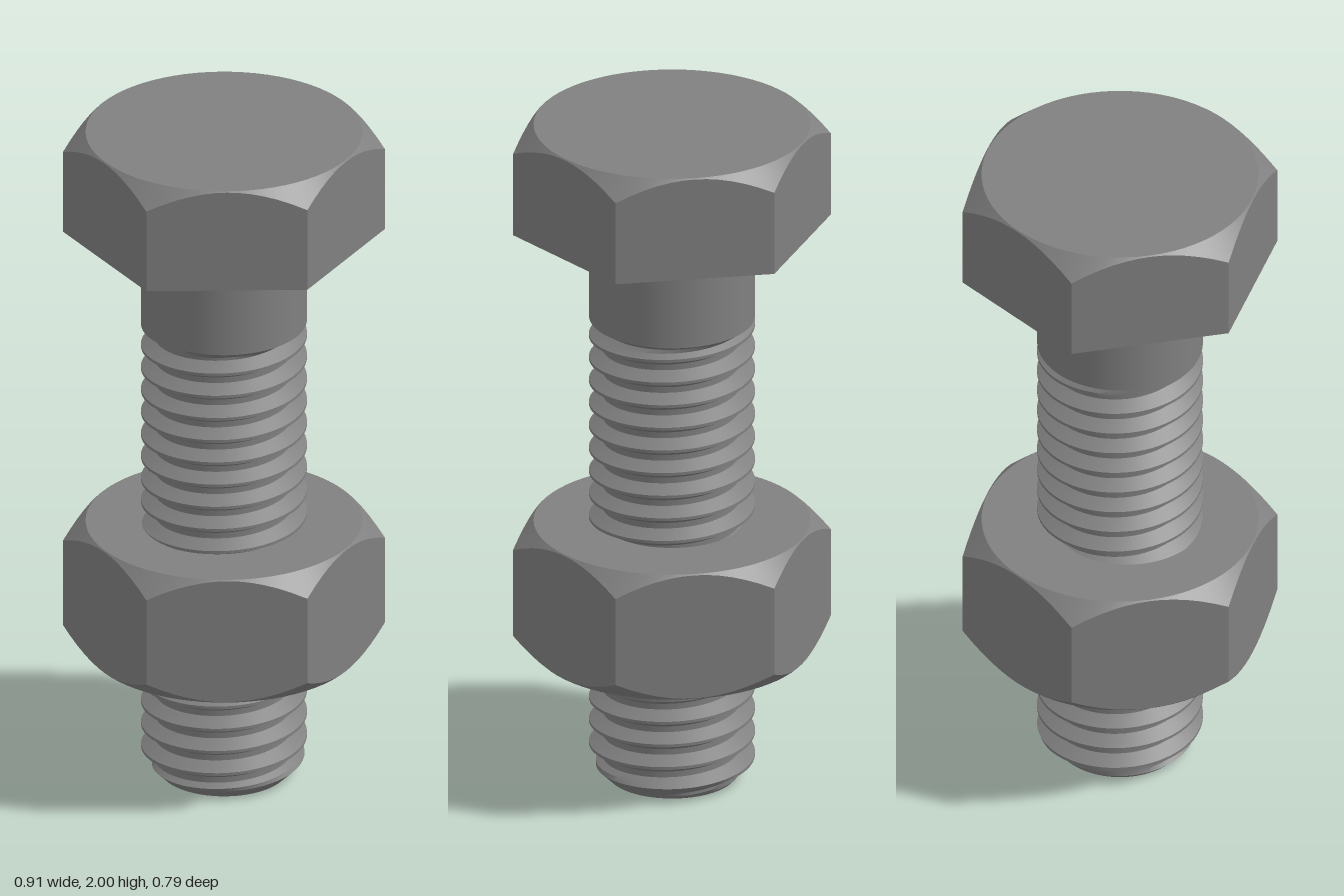
import * as THREE from 'three';
import { toCreasedNormals } from 'three/addons/utils/BufferGeometryUtils.js';

const SEG = 72, SHANK_R = 0.235, ROOT_R = 0.196, APOTHEM = 0.395;
const PITCH = 0.0697, CREST_Y = 0.042, THREAD_TOP = 1.41;

// Skins a stack of rings; each ring is a function angle -> [radius, y]
function skin(rings) {
  const pos = [], index = [], w = SEG + 1;
  rings.forEach((ring, i) => {
    for (let j = 0; j <= SEG; j++) {
      const a = (j / SEG) * Math.PI * 2;
      const [r, y] = ring(a);
      pos.push(r * Math.cos(a), y, -r * Math.sin(a));
      if (i > 0 && j < SEG) {
        const p = (i - 1) * w + j, q = p + w;
        index.push(p, p + 1, q + 1, p, q + 1, q);
      }
    }
  });
  const g = new THREE.BufferGeometry();
  g.setAttribute('position', new THREE.Float32BufferAttribute(pos, 3));
  g.setIndex(index);
  return toCreasedNormals(g, Math.PI / 7);
}

// Hexagon radius with corners on the x axis
function hexRadius(a) {
  const s = Math.PI / 3;
  const local = a - Math.floor(a / s + 1e-9) * s - s / 2;
  return APOTHEM / Math.cos(local);
}

// Hexagonal block whose corners are turned off by a cone
function hexBlock(bottom, top, drop, chamferBottom, bore) {
  const faceR = 0.392;
  const cut = (a) => (drop * (hexRadius(a) - faceR)) / (0.456 - faceR);
  const rings = [() => [bore, bottom]];
  if (chamferBottom) rings.push(() => [faceR, bottom]);
  rings.push(
    (a) => [hexRadius(a), bottom + (chamferBottom ? cut(a) : 0)],
    (a) => [hexRadius(a), top - cut(a)],
    () => [faceR, top],
    () => [bore, top],
  );
  if (bore > 0) rings.push(() => [bore, bottom]);
  return skin(rings);
}

// Thread radius: trapezoid profile, chamfered tip, run-out under the shank
function threadRadius(a, y) {
  const t = (y - CREST_Y) / PITCH - a / (Math.PI * 2);
  const d = Math.abs(t - Math.round(t));
  const k = THREE.MathUtils.clamp((d - 0.0625) / 0.3125, 0, 1);
  let r = THREE.MathUtils.lerp(SHANK_R, ROOT_R, k);
  r = Math.min(r, 0.182 + y);
  const out = THREE.MathUtils.clamp((y - 1.385) / (THREAD_TOP - 1.385), 0, 1);
  return Math.max(r, THREE.MathUtils.lerp(ROOT_R, SHANK_R, out) * (out > 0 ? 1 : 0));
}

function helicalThread() {
  const rings = [() => [0, 0]];
  const steps = [-0.375, -0.22, -0.0625, 0.0625, 0.22, 0.375, 0.5];
  for (let turn = -2; turn <= 21; turn++) {
    for (const u of steps) {
      rings.push((a) => {
        const raw = CREST_Y + PITCH * (turn + u + a / (Math.PI * 2));
        const y = THREE.MathUtils.clamp(raw, 0, THREAD_TOP);
        return [threadRadius(a, y), y];
      });
    }
  }
  return skin(rings);
}

export function createModel() {
  const model = new THREE.Group();
  model.name = 'boltAndNut';
  const steel = new THREE.MeshStandardMaterial({ color: 0x808080 });
  steel.name = 'steel grey';
  const add = (name, geometry) => {
    const mesh = new THREE.Mesh(geometry, steel);
    mesh.name = name;
    model.add(mesh);
    return mesh;
  };

  add('boltHead', hexBlock(1.69, 2, 0.06, false, 0));
  const shank = add('plainShank', new THREE.CylinderGeometry(SHANK_R, SHANK_R, 1.69 - THREAD_TOP, SEG, 1, true));
  shank.position.y = (1.69 + THREAD_TOP) / 2;
  add('threadedShank', helicalThread());
  add('nut', hexBlock(0.395, 0.78, 0.06, true, 0.2));
  return model;
}
